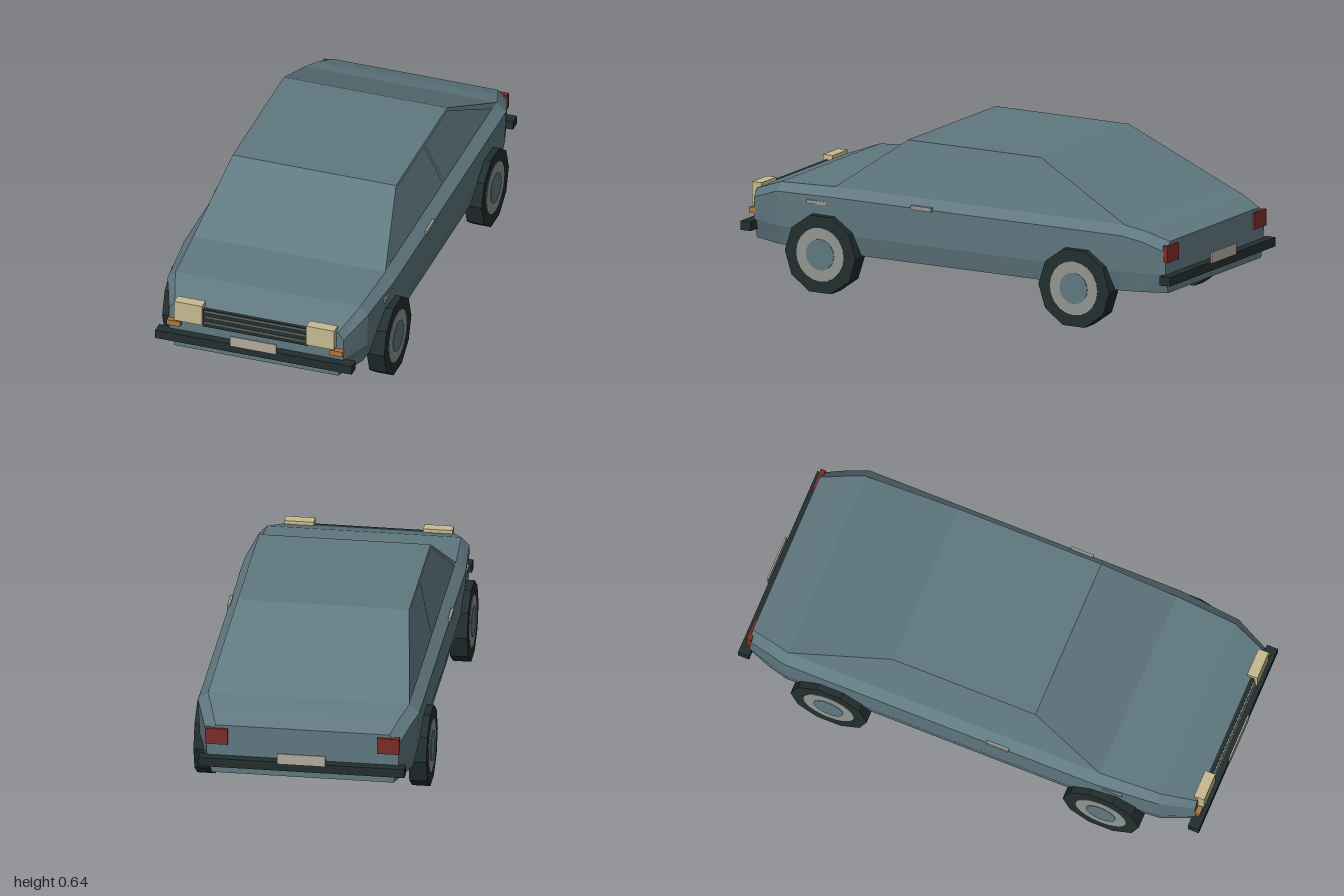
import * as THREE from 'three';

const material = (name, color) => {
  const m = new THREE.MeshStandardMaterial({ color, flatShading: true });
  m.name = name;
  return m;
};

// Flat-shaded geometry from polygons, each a convex loop of [x, y, z] corners
function facets(polygons) {
  const pos = [];
  for (const p of polygons)
    for (let i = 1; i < p.length - 1; i++) pos.push(...p[0], ...p[i], ...p[i + 1]);
  const g = new THREE.BufferGeometry();
  g.setAttribute('position', new THREE.Float32BufferAttribute(pos, 3));
  g.computeVertexNormals();
  return g;
}

// Sections run front to back; each is { z, pts: [[halfWidth, y], ...] } from bottom to top
function loftFaces(sections) {
  const loops = sections.map(({ z, pts }) => [
    ...pts.map(([x, y]) => [x, y, z]),
    ...pts.slice().reverse().map(([x, y]) => [-x, y, z]),
  ]);
  const skin = [], floor = [], n = loops[0].length;
  for (let s = 0; s < loops.length - 1; s++) {
    const a = loops[s], b = loops[s + 1];
    for (let i = 0; i < n; i++) {
      const j = (i + 1) % n;
      (j === 0 ? floor : skin).push([a[i], b[i], b[j], a[j]]);
    }
  }
  skin.push(loops[0], loops[loops.length - 1].slice().reverse());
  return { skin, floor };
}

export function createModel() {
  const car = new THREE.Group();
  car.name = 'car';
  const paint = material('body paint', 0x607880);
  const black = material('black rubber', 0x222e2f);
  const metal = material('grey metal', 0x929690);
  const lamp = material('headlight cream', 0xc6ba90);
  const amber = material('indicator amber', 0xb0743c);
  const red = material('tail light red', 0x7a2c28);
  const plate = material('plate grey', 0xb2aa9c);

  const add = (name, geometry, mat, parent = car) => {
    const mesh = new THREE.Mesh(geometry, mat);
    mesh.name = name;
    parent.add(mesh);
    return mesh;
  };
  // Box given by its ranges on each axis
  const box = (name, mat, [x0, x1], [y0, y1], [z0, z1]) =>
    add(name, new THREE.BoxGeometry(x1 - x0, y1 - y0, z1 - z0), mat)
      .position.set((x0 + x1) / 2, (y0 + y1) / 2, (z0 + z1) / 2);
  const pair = (name, mat, [x0, x1], y, z) => {
    box(name + 'Left', mat, [x0, x1], y, z);
    box(name + 'Right', mat, [-x1, -x0], y, z);
  };

  // Lower body: sill, lower crease, belt line, top edge
  const section = (z, sill, low, belt, beltY, top, topY) =>
    ({ z, pts: [[sill, 0.16], [low, 0.24], [belt, beltY], [top, topY]] });
  const body = loftFaces([
    section(0.957, 0.345, 0.368, 0.368, 0.33, 0.345, 0.362),
    section(0.82, 0.4, 0.42, 0.423, 0.38, 0.39, 0.413),
    section(0.56, 0.42, 0.438, 0.445, 0.39, 0.405, 0.425),
    section(-0.78, 0.42, 0.438, 0.445, 0.39, 0.405, 0.425),
    section(-0.86, 0.4, 0.415, 0.42, 0.37, 0.38, 0.405),
    section(-0.955, 0.365, 0.385, 0.388, 0.33, 0.35, 0.368),
  ]);
  add('body', facets(body.skin), paint);
  add('underside', facets(body.floor), black);

  // Cabin wedge with sloping windscreen and rear window
  const cabinSection = (z, w, y) => ({ z, pts: [[0.405, 0.425], [w, y]] });
  const cabin = loftFaces([
    cabinSection(0.56, 0.405, 0.425),
    cabinSection(0.26, 0.345, 0.64),
    cabinSection(-0.355, 0.345, 0.64),
    cabinSection(-0.78, 0.405, 0.425),
  ]);
  add('cabin', facets(cabin.skin.slice(0, -2)), paint);

  // Thin side windows, split by a sloping pillar; t is the height up the cabin side
  const onSide = (z, t) => [0.405 - 0.06 * t + 0.003, 0.425 + 0.215 * t + 0.001, z];
  const windows = [
    [onSide(0.51, 0.03), onSide(-0.13, 0.03), onSide(-0.065, 0.97), onSide(0.25, 0.97)],
    [onSide(-0.145, 0.03), onSide(-0.72, 0.03), onSide(-0.345, 0.97), onSide(-0.08, 0.97)],
  ];
  const mirrored = windows.map((w) => w.map(([x, y, z]) => [-x, y, z]).reverse());
  add('sideWindowsLeft', facets(windows), paint);
  add('sideWindowsRight', facets(mirrored), paint);

  // Bumpers and number plates
  box('frontBumper', black, [-0.415, 0.415], [0.2, 0.237], [0.945, 0.992]);
  box('rearBumper', black, [-0.415, 0.415], [0.2, 0.237], [-0.992, -0.945]);
  box('frontPlate', plate, [-0.097, 0.097], [0.232, 0.277], [0.992, 0.999]);
  box('rearPlate', plate, [-0.097, 0.097], [0.232, 0.277], [-0.999, -0.992]);

  // Grille with three bars
  box('grille', black, [-0.22, 0.22], [0.283, 0.363], [0.94, 0.972]);
  for (const y of [0.303, 0.33, 0.356])
    box('grilleBar', metal, [-0.215, 0.215], [y - 0.003, y + 0.003], [0.97, 0.977]);

  // Lights
  pair('headlight', lamp, [0.22, 0.338], [0.295, 0.383], [0.94, 0.984]);
  pair('indicator', amber, [0.315, 0.371], [0.264, 0.287], [0.94, 0.978]);
  pair('tailLight', red, [0.3, 0.39], [0.288, 0.355], [-0.966, -0.945]);

  // Door handles and wing trims
  pair('doorHandle', metal, [0.438, 0.45], [0.384, 0.401], [0.09, 0.185]);
  pair('wingTrim', metal, [0.43, 0.443], [0.352, 0.367], [0.58, 0.67]);

  // Wheels: ten-sided tyre with rim and hub discs on the outer face
  const disc = (r, depth, sides) => new THREE.CylinderGeometry(r, r, depth, sides).rotateZ(-Math.PI / 2);
  for (const [end, z] of [['front', 0.592], ['rear', -0.58]])
    for (const [side, s] of [['Left', 1], ['Right', -1]]) {
      const wheel = new THREE.Group();
      wheel.name = `${end}Wheel${side}`;
      wheel.position.set(s * 0.432, 0.156, z);
      add('tyre', disc(0.164, 0.073, 10), black, wheel);
      add('rim', disc(0.11, 0.006, 20), metal, wheel).position.x = s * 0.0355;
      add('hub', disc(0.064, 0.006, 20), paint, wheel).position.x = s * 0.0375;
      car.add(wheel);
    }
  return car;
}
